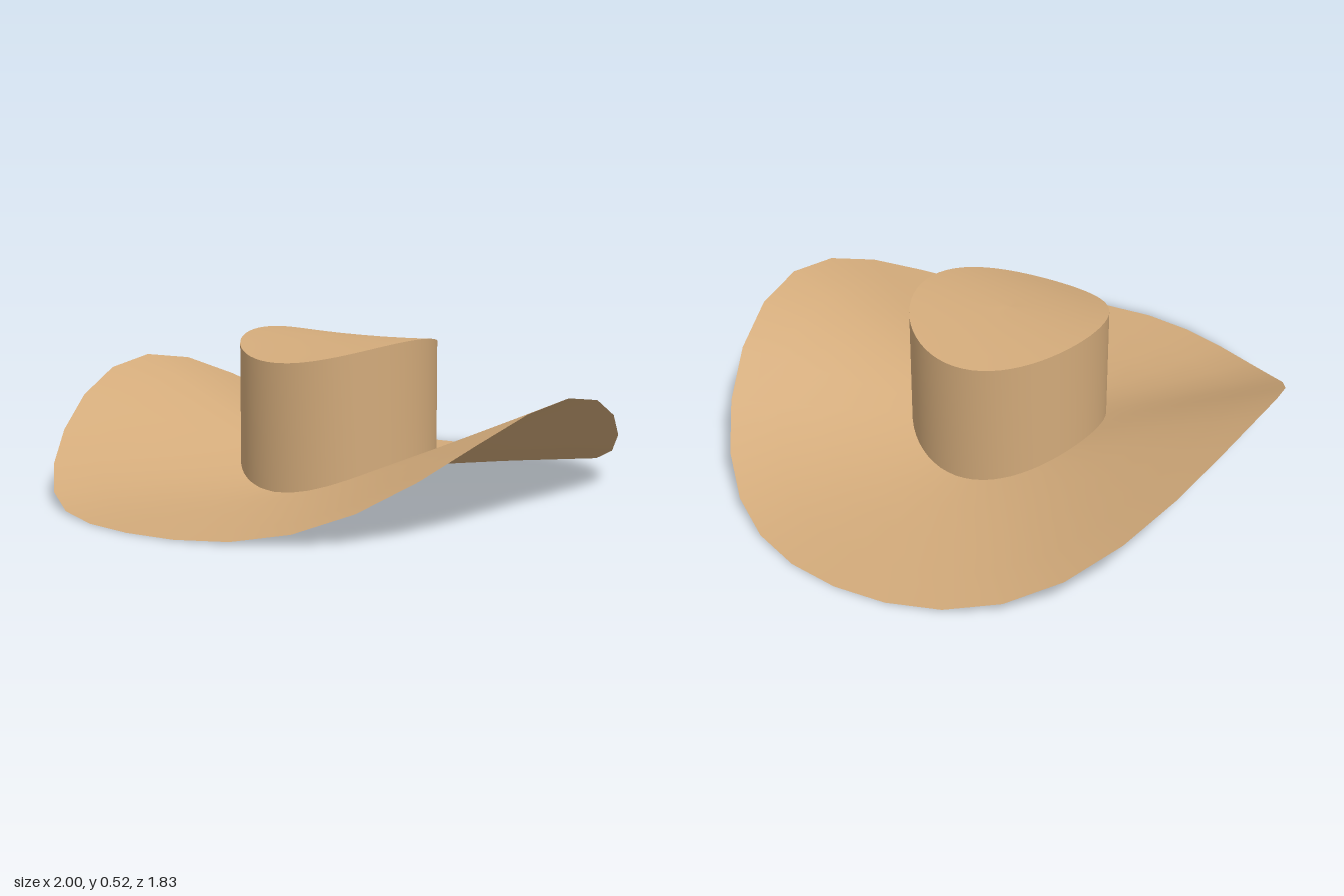
import * as THREE from 'three';

const felt = new THREE.MeshStandardMaterial({ color: 0xd2aa7a, side: THREE.DoubleSide });

// Skins a stack of closed rings; each ring maps an angle to [x, y, z].
function loft(name, rings, n) {
  const pos = [], idx = [];
  rings.forEach((ring, i) => {
    for (let j = 0; j < n; j++) {
      pos.push(...ring((j / n) * Math.PI * 2));
      if (i === rings.length - 1) continue;
      const a = i * n + j, b = i * n + (j + 1) % n;
      idx.push(a, b, a + n, b, b + n, a + n);
    }
  });
  const geo = new THREE.BufferGeometry();
  geo.setAttribute('position', new THREE.Float32BufferAttribute(pos, 3));
  geo.setIndex(idx);
  geo.computeVertexNormals();
  const mesh = new THREE.Mesh(geo, felt);
  mesh.name = name;
  return mesh;
}

const R = 0.332;
// Saddle-shaped edges: high at front and back, low at the sides.
const rim = (a) => [Math.sin(a), 0.38 * Math.cos(a) ** 4, 0.915 * Math.cos(a)];
const base = (a) => [R * Math.sin(a), 0.025 + 0.108 * Math.cos(a) ** 2, R * Math.cos(a)];
const top = (a) => [R * Math.sin(a), 0.45 + 0.07 * Math.cos(a) ** 2, R * Math.cos(a)];

// Straight blend between two rings.
const between = (p, q, t) => (a) => {
  const u = p(a), v = q(a);
  return u.map((c, k) => c + (v[k] - c) * t);
};

export function createModel() {
  const hat = new THREE.Group();
  hat.name = 'hat';

  // Brim: straight slope from the wavy rim to the foot of the crown
  const brimRings = [0, 0.25, 0.5, 0.75, 1].map((t) => between(rim, base, t));
  hat.add(loft('brim', brimRings, 32));

  // Crown wall
  hat.add(loft('crownWall', [base, top], 64));

  // Crown top: arched from side to side, dipping slightly at the centre
  const capRings = [1, 0.8, 0.6, 0.4, 0.2, 0.001].map((s) => (a) => {
    const [x, y, z] = top(a);
    return [x * s, 0.512 + (y - 0.512) * s * s, z * s];
  });
  hat.add(loft('crownTop', capRings, 64));

  return hat;
}
